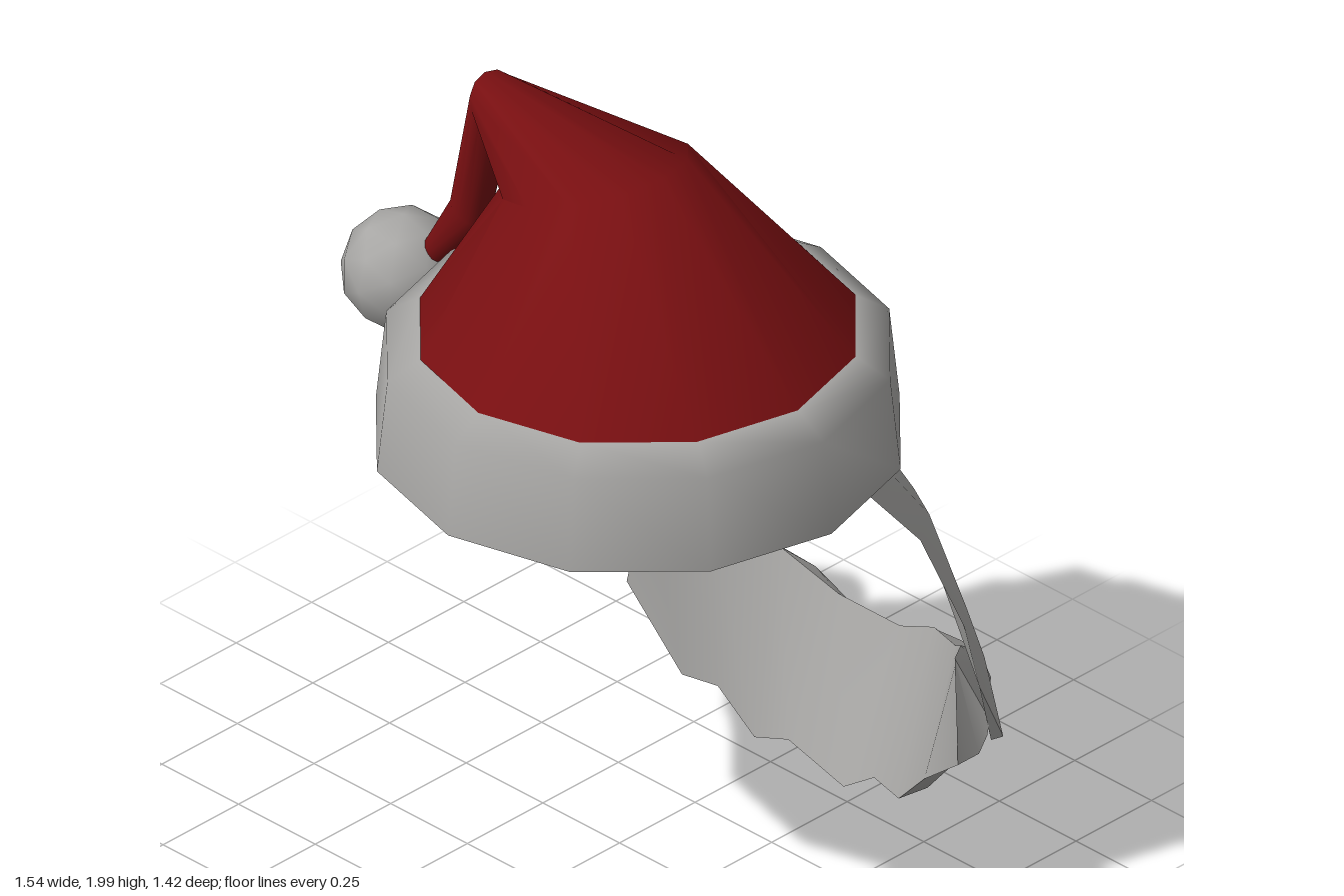
import * as THREE from 'three';
import { toCreasedNormals } from 'three/addons/utils/BufferGeometryUtils.js';

const CX = 0.14, CZ = 0.08; // hat axis

// Skin a list of closed rings (arrays of [x, y, z]) and cap both ends
function loft(rings, crease) {
  const n = rings[0].length, last = (rings.length - 1) * n, index = [];
  for (let i = 0; i < rings.length - 1; i++) {
    for (let j = 0; j < n; j++) {
      const a = i * n + j, b = i * n + (j + 1) % n;
      index.push(a, a + n, b, b, a + n, b + n);
    }
  }
  for (let j = 1; j < n - 1; j++) {
    index.push(0, j, j + 1, last, last + j + 1, last + j);
  }
  const geo = new THREE.BufferGeometry();
  geo.setAttribute('position', new THREE.Float32BufferAttribute(rings.flat(2), 3));
  geo.setIndex(index);
  geo.computeVertexNormals();
  return toCreasedNormals(geo, crease);
}

export function createModel() {
  const model = new THREE.Group();
  model.name = 'hatWithBeard';
  const red = new THREE.MeshStandardMaterial({ color: 0x780f11, side: THREE.DoubleSide });
  red.name = 'red cloth';
  const fur = new THREE.MeshStandardMaterial({ color: 0xa8a7a5, side: THREE.DoubleSide });
  fur.name = 'pale fur';
  const add = (name, geo, mat) => {
    const mesh = new THREE.Mesh(geo, mat);
    mesh.name = name;
    model.add(mesh);
    return mesh;
  };

  // Fur brim with a closed underside
  const profile = [[0.63, 1.23], [0.605, 1.47], [0.525, 1.52], [0.45, 1.52]];
  add('brim', new THREE.LatheGeometry(profile.map(p => new THREE.Vector2(...p)), 12), fur)
    .position.set(CX, 0, CZ);
  const under = add('brimUnderside', new THREE.CircleGeometry(0.63, 12), fur);
  under.rotation.x = Math.PI / 2;
  under.position.set(CX, 1.23, CZ);

  // Folded cone: centre x, y; in-plane axis x, y; depth radius
  const folds = [
    [0.14, 1.515, 0.525, 0, 0.53],
    [0.0, 1.885, 0.22, 0.075, 0.225],
    [-0.33, 1.94, -0.03, 0.06, 0.075],
    [-0.41, 1.6, -0.05, 0.02, 0.04],
    [-0.525, 1.44, -0.025, 0.02, 0.025],
  ];
  const cone = folds.map(([x, y, ux, uy, rz]) => Array.from({ length: 12 }, (_, j) => {
    const a = j * Math.PI / 6, c = Math.cos(a), s = Math.sin(a);
    return [x + ux * c, y + uy * c, CZ + rz * s];
  }));
  add('hatCone', loft(cone, 1.0), red);

  // Pompom on the tail
  add('pompom', new THREE.IcosahedronGeometry(0.15, 1), fur).position.set(-0.625, 1.345, CZ);

  // Straps: front edge and back edge, with a slight outward bulge between
  const frontEdge = [[0.72, 1.24, -0.09], [0.735, 1.05, -0.25], [0.76, 0.77, -0.37],
    [0.72, 0.55, -0.46], [0.68, 0.35, -0.54]];
  const backEdge = [[0.565, 1.24, -0.28], [0.585, 1.07, -0.38], [0.6, 0.78, -0.46],
    [0.615, 0.64, -0.52], [0.67, 0.36, -0.55]];
  for (const side of [1, -1]) {
    const flip = p => [0.145 + side * (p[0] - 0.145), p[1], p[2]];
    const rings = frontEdge.map((f, i) => {
      const b = backEdge[i];
      const mid = [(f[0] + b[0]) / 2 + 0.02, (f[1] + b[1]) / 2, (f[2] + b[2]) / 2 - 0.02];
      const ring = [f, b, mid].map(flip);
      return side > 0 ? ring : ring.reverse();
    });
    add(side > 0 ? 'leftStrap' : 'rightStrap', loft(rings, 0.8), fur);
  }

  // Beard: half tables run from the end to the middle, as offset x, y, z
  const top = [[0.505, 0.6, -0.45], [0.475, 0.6, -0.5], [0.4, 0.54, -0.56],
    [0.25, 0.49, -0.64], [0.1, 0.41, -0.68]];
  const bulge = [[0.55, 0.42, -0.52], [0.475, 0.47, -0.6], [0.365, 0.47, -0.67],
    [0.2, 0.43, -0.705], [0.07, 0.37, -0.71]];
  // Ragged lower edge
  const hem = [[-0.4, 0.36], [-0.25, 0.15], [-0.16, 0.14], [-0.06, 0.03], [0.04, 0.06],
    [0.22, 0.01], [0.33, 0.09], [0.43, 0.09], [0.54, 0.21], [0.68, 0.33]];
  const sections = hem.map(([hx, hy], i) => {
    const k = Math.min(i, 9 - i), side = i < 5 ? -1 : 1;
    const arch = Math.sin(Math.PI * i / 9);
    const place = ([dx, y, z]) => [0.145 + side * dx, y, z];
    const t = place(top[k]), m = place(bulge[k]);
    const low = [(m[0] + hx) / 2, m[1] * 0.5 + hy * 0.5, m[2]];
    return [t, m, low, [hx, hy, -0.5 - 0.13 * arch], [hx, hy + 0.02 * arch, -0.43 - 0.09 * arch]];
  });
  add('beard', loft(sections, 0.9), fur);

  return model;
}
